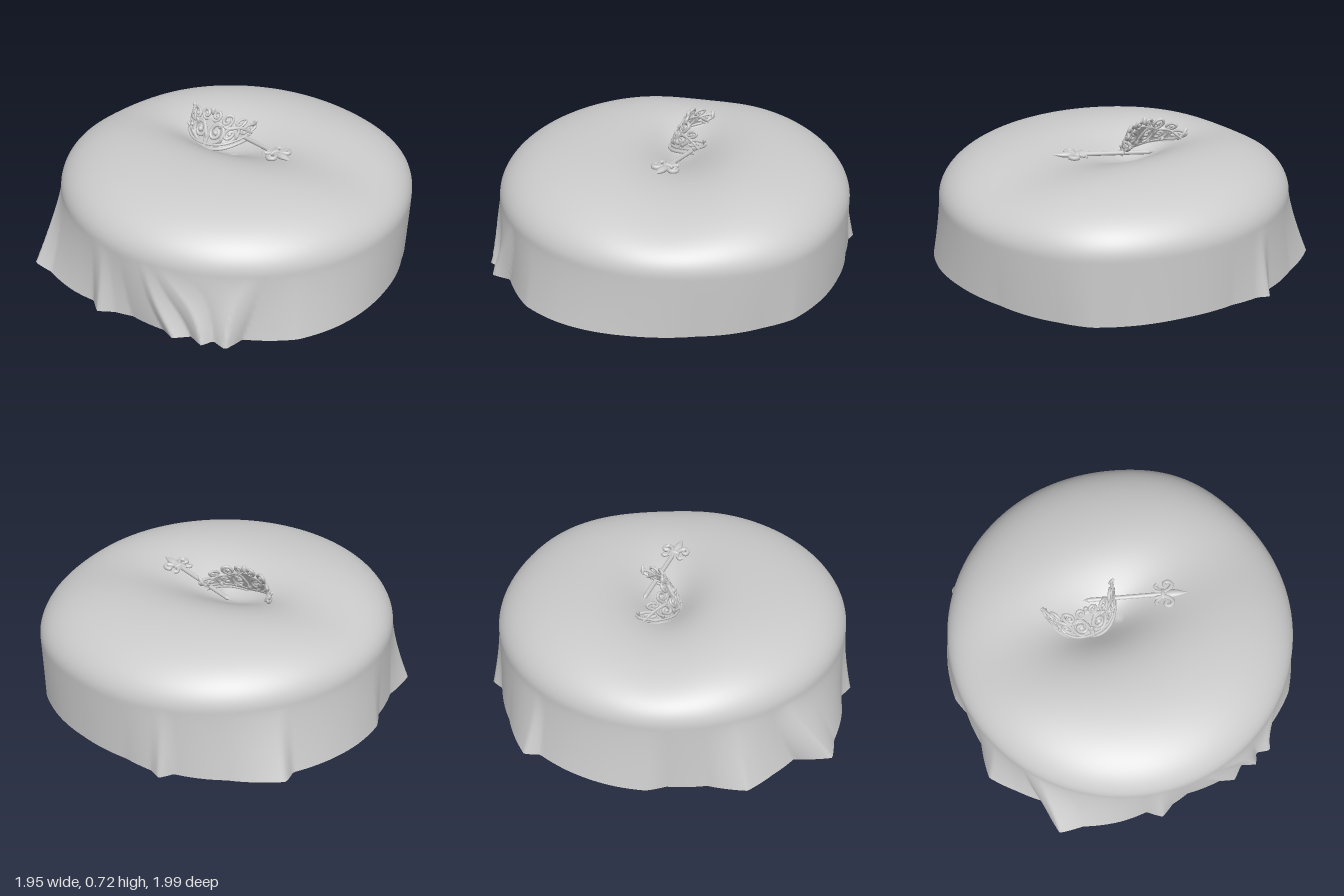
import * as THREE from 'three';

const grey = new THREE.MeshStandardMaterial({ color: 0xcccccc });
const cloth = new THREE.MeshStandardMaterial({ color: 0xcccccc, side: THREE.DoubleSide });

// Hem outline as x, z pairs; stored as angle and radius
const HEM = [
  [-0.2, -1], [-0.14, -0.97], [0.02, -0.955], [0.3, -0.915], [0.5, -0.84], [0.7, -0.7], [0.79, -0.56],
  [0.92, -0.25], [0.97, 0.08], [0.945, 0.3], [0.89, 0.46], [0.78, 0.64], [0.56, 0.79], [0.53, 0.9],
  [0.45, 0.88], [0.42, 0.94], [0.34, 0.91], [0.27, 0.97], [0.2, 0.94], [0, 0.93], [-0.1, 0.95],
  [-0.18, 0.99], [-0.25, 0.93], [-0.4, 0.92], [-0.6, 0.86], [-0.73, 0.84], [-0.75, 0.64], [-0.86, 0.53],
  [-0.97, 0.4], [-0.94, 0.2], [-0.95, 0], [-0.98, -0.1], [-0.95, -0.3], [-0.87, -0.5], [-0.76, -0.66],
  [-0.76, -0.74], [-0.5, -0.86], [-0.25, -0.94],
].map(([x, z]) => [Math.atan2(x, z), Math.hypot(x, z)]).sort((a, b) => a[0] - b[0]);

function hemRadius(angle) {
  const a = Math.atan2(Math.sin(angle), Math.cos(angle));
  const n = HEM.length;
  let i = HEM.findIndex((p) => p[0] > a);
  if (i < 0) i = n;
  const lo = i > 0 ? HEM[i - 1] : [HEM[n - 1][0] - 2 * Math.PI, HEM[n - 1][1]];
  const hi = i < n ? HEM[i] : [HEM[0][0] + 2 * Math.PI, HEM[0][1]];
  return lo[1] + (hi[1] - lo[1]) * (a - lo[0]) / (hi[0] - lo[0]);
}

// Bell curve of the angle a about a centre
function bell(a, centre, spread) {
  const d = Math.atan2(Math.sin(a - centre), Math.cos(a - centre));
  return Math.exp(-d * d / spread);
}

const bodyRadius = (a) => 0.947 + 0.012 * Math.sin(a) - 0.005 * Math.cos(a) + 0.028 * bell(a, 2.36, 0.12);

// Height of the cushion top: rounded rim, shallow saddle, wide dimple and small pocket
function topHeight(x, z) {
  const t = Math.min(1, Math.hypot(x, z) / bodyRadius(Math.atan2(x, z)));
  const rim = 0.28 * (1 - Math.sqrt(1 - t ** 3.5));
  const saddle = 0.035 * Math.exp(-((z + 0.08) ** 2) / 0.08) * (1 - t ** 6);
  const dimple = 0.08 * Math.exp(-((x + 0.03) ** 2) / 0.13 - ((z + 0.05) ** 2) / 0.05);
  const pocket = 0.045 * Math.exp(-((x + 0.12) ** 2) / 0.045 - ((z + 0.02) ** 2) / 0.016);
  return 0.637 + 0.008 * z - 0.02 * x - rim - saddle - dimple - pocket;
}

// One draped sheet: rings across the top, then down the side to the hem
function drapedCloth() {
  const around = 420, top = 44, side = 24, rows = top + side;
  const pos = [], index = [];
  for (let j = 0; j <= rows; j++) {
    for (let i = 0; i < around; i++) {
      const a = (i / around) * 2 * Math.PI;
      const R = bodyRadius(a);
      let r, y;
      if (j <= top) {
        r = R * Math.sin((j / top) * Math.PI / 2);
        y = topHeight(r * Math.sin(a), r * Math.cos(a));
      } else {
        // Folds swing sideways as they rise
        const v = (j - top) / side;
        const slant = 0.18 * bell(a, -0.85, 0.06) + 0.22 * bell(a, 0.2, 0.05) - 0.12 * bell(a, 0.65, 0.02);
        r = R + (hemRadius(a + slant * (1 - v)) - R) * v ** 1.3;
        const rimY = topHeight(R * Math.sin(a), R * Math.cos(a));
        const hemY = 0.006 + 0.005 * Math.sin(5 * a);
        y = rimY + (hemY - rimY) * v;
      }
      pos.push(r * Math.sin(a), y, r * Math.cos(a));
      if (j < rows) {
        const n = (i + 1) % around, p = j * around, q = p + around;
        if (j > 0) index.push(p + i, q + n, p + n);
        index.push(p + i, q + i, q + n);
      }
    }
  }
  const g = new THREE.BufferGeometry();
  g.setAttribute('position', new THREE.Float32BufferAttribute(pos, 3));
  g.setIndex(index);
  g.computeVertexNormals();
  // The first ring is a single point, so its normals all face up
  for (let i = 0; i < around; i++) g.attributes.normal.setXYZ(i, 0, 1, 0);
  return g;
}

function add(parent, name, geometry, material = grey) {
  const m = new THREE.Mesh(geometry, material);
  m.name = name;
  parent.add(m);
  return m;
}

function tube(points, radius, segments = 40) {
  return new THREE.TubeGeometry(new THREE.CatmullRomCurve3(points), segments, radius, 8);
}

function ball(parent, name, p, sx, sy, sz) {
  const m = add(parent, name, new THREE.SphereGeometry(1, 14, 10));
  m.position.copy(p);
  m.scale.set(sx, sy, sz);
  return m;
}

// Bowed surface of the tiara, leaning back: u runs across, v runs up
const onTiara = (u, v) => new THREE.Vector3(
  -0.165 + 0.95 * u, 0.51 + u * u + v, 0.05 - 1.2 * u * u - 70 * u ** 4 - 0.55 * v);

function tiara() {
  const g = new THREE.Group();
  g.name = 'tiara';
  // Domed backing behind the scrollwork
  const back = new THREE.PlaneGeometry(0.38, 1, 24, 6);
  const at = back.attributes.position;
  for (let i = 0; i < at.count; i++) {
    const u = at.getX(i);
    const p = onTiara(u, (at.getY(i) + 0.5) * (0.04 + 0.11 * Math.cos(u * 8)));
    at.setXYZ(i, p.x, p.y, p.z - 0.004);
  }
  back.computeVertexNormals();
  add(g, 'backing', back, cloth);
  // Base bands
  for (const [v, r] of [[0.005, 0.009], [0.026, 0.007]]) {
    const pts = [];
    for (let i = 0; i <= 14; i++) pts.push(onTiara(-0.2 + i * 0.4 / 14, v));
    add(g, 'baseBand', tube(pts, r));
  }
  // Scrolls: u, v, radius, turns, start angle
  const scrolls = [
    [0.052, 0.085, 0.05, 1.6, -1.6], [0.128, 0.07, 0.038, 1.5, -1.2], [0.187, 0.06, 0.026, 1.4, -1.5],
    [0.034, 0.168, 0.028, 1.4, -2.2], [0.1, 0.143, 0.034, 1.4, -1.8], [0.16, 0.112, 0.022, 1.3, -1.8],
  ];
  for (const s of [-1, 1]) {
    for (const [u, v, r, turns, start] of scrolls) {
      const pts = [];
      for (let i = 0; i <= 24; i++) {
        const a = start + (i / 24) * turns * 2 * Math.PI, rr = r * (1 - 0.75 * i / 24);
        pts.push(onTiara(s * (u + rr * Math.cos(a)), v + rr * Math.sin(a)));
      }
      add(g, 'scroll', tube(pts, 0.006 + r * 0.08, 48));
      ball(g, 'scrollBead', onTiara(s * u, v), r * 0.32, r * 0.32, r * 0.32);
    }
    // Leafy stems joining the scrolls
    add(g, 'stem', tube([[0, 0.02], [0.012, 0.08], [0.05, 0.132], [0.11, 0.105], [0.165, 0.085], [0.205, 0.03]]
      .map(([u, v]) => onTiara(s * u, v)), 0.01));
    for (const [u, v, tilt] of [[0.09, 0.045, 0.5], [0.155, 0.04, 0.7], [0.075, 0.115, 0.9], [0.205, 0.075, 0.6]]) {
      const leaf = ball(g, 'leaf', onTiara(s * u, v), 0.011, 0.027, 0.009);
      leaf.rotation.z = -s * tilt;
    }
  }
  ball(g, 'crest', onTiara(0, 0.185), 0.013, 0.022, 0.012);
  ball(g, 'centreJewel', onTiara(0, 0.06), 0.014, 0.03, 0.012);
  return g;
}

// Hairpin built along +x, then laid in the dimple
function hairpin() {
  const g = new THREE.Group();
  g.name = 'hairpin';
  const p = (x, z, y = 0) => new THREE.Vector3(x, y, z);
  const shaft = add(g, 'shaft', new THREE.CylinderGeometry(0.012, 0.012, 0.4, 12));
  shaft.rotation.z = Math.PI / 2;
  shaft.position.x = 0.2;
  const point = add(g, 'point', new THREE.ConeGeometry(0.012, 0.03, 12));
  point.rotation.z = Math.PI / 2;
  point.position.x = -0.015;
  ball(g, 'collar', p(0.4, 0), 0.014, 0.017, 0.032);
  // Centre petal, pointed at the far end
  const petal = add(g, 'centrePetal', new THREE.LatheGeometry(
    [[0, 0], [0.014, 0.02], [0.024, 0.06], [0.019, 0.09], [0, 0.14]].map(([x, y]) => new THREE.Vector2(x, y)), 14));
  petal.rotation.z = -Math.PI / 2;
  petal.position.x = 0.39;
  petal.scale.x = 0.65;
  for (const s of [-1, 1]) {
    add(g, 'sidePetal', tube([p(0.36, s * 0.02), p(0.4, s * 0.012), p(0.435, s * 0.026), p(0.45, s * 0.05),
      p(0.432, s * 0.068), p(0.41, s * 0.06), p(0.417, s * 0.046)], 0.012));
    add(g, 'lowerCurl', tube([p(0.4, s * 0.012), p(0.375, s * 0.03), p(0.362, s * 0.046), p(0.372, s * 0.058)], 0.01, 20));
  }
  const start = new THREE.Vector3(-0.115, 0, -0.145), end = new THREE.Vector3(0.375, 0, 0.04);
  start.y = topHeight(start.x, start.z) + 0.03;
  end.y = topHeight(end.x, end.z) + 0.015;
  g.position.copy(start);
  const d = end.sub(start).normalize();
  g.quaternion.setFromEuler(new THREE.Euler(0, Math.atan2(-d.z, d.x), Math.asin(d.y), 'YZX'));
  return g;
}

export function createModel() {
  const model = new THREE.Group();
  model.name = 'drapedCushion';
  add(model, 'drapedCloth', drapedCloth(), cloth);
  model.add(tiara(), hairpin());
  return model;
}
